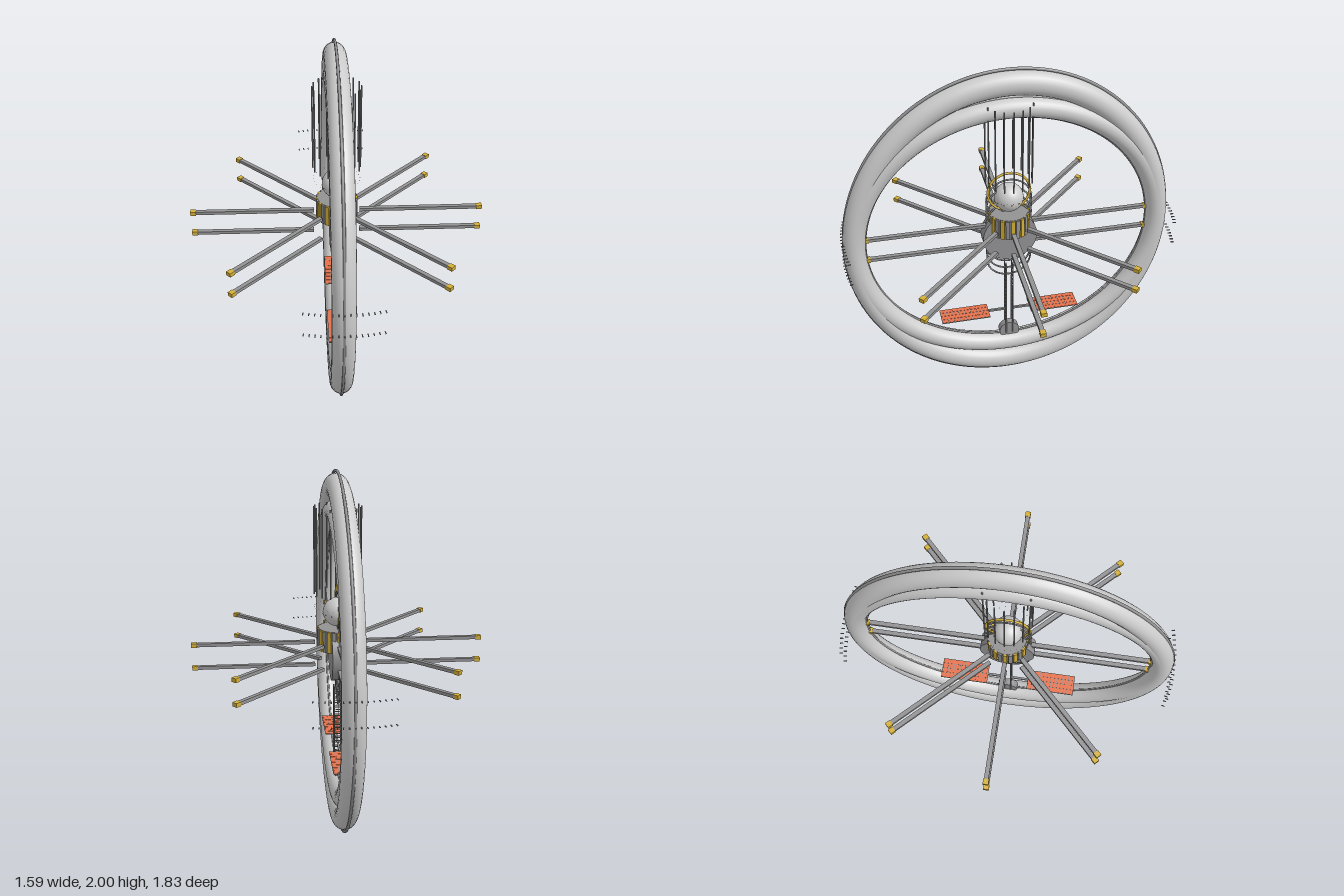
import * as THREE from 'three';

const mat = (name, color) => {
  const m = new THREE.MeshStandardMaterial({ color });
  m.name = name;
  return m;
};

export function createModel() {
  const model = new THREE.Group();
  const shell = mat('pale grey', 0xcccccc);
  const steel = mat('mid grey', 0x929294);
  const gold = mat('gold', 0xd4af37);
  const orange = mat('orange', 0xe8714a);

  const group = (name, parent = model) => {
    const g = new THREE.Group();
    g.name = name;
    parent.add(g);
    return g;
  };
  const add = (name, geo, material, x = 0, y = 0, z = 0, parent = model) => {
    const m = new THREE.Mesh(geo, material);
    m.name = name;
    m.position.set(x, y, z);
    parent.add(m);
    return m;
  };
  // A hoop standing in the yz plane, optionally stretched in height
  const hoop = (name, R, r, material, y, stretch = 1, sides = 12, steps = 48, parent = model) => {
    const geo = new THREE.TorusGeometry(R, r, sides, steps).rotateY(Math.PI / 2);
    return add(name, geo, material, 0, y, 0, parent).scale.set(1, stretch, 1);
  };

  // Two overlapping oval rings with thin seams
  hoop('outerRing', 0.845, 0.06, shell, 1, 1.08, 24, 128);
  hoop('innerRing', 0.845, 0.06, shell, 1, 0.92, 24, 128);
  hoop('middleSeam', 0.84, 0.009, shell, 1, 1, 8, 128);
  hoop('outerSeam', 0.9, 0.008, steel, 1, 1.1, 8, 128);
  hoop('innerSeam', 0.786, 0.006, steel, 1, 0.915, 8, 128);

  // Hub disc
  add('hubDisc', new THREE.CylinderGeometry(0.15, 0.15, 0.08, 48).rotateZ(Math.PI / 2), steel, 0, 1, 0);

  // Collar drum with alternating grey and gold slats
  const collar = group('collar');
  add('collarDrum', new THREE.CylinderGeometry(0.104, 0.104, 0.12, 32), steel, 0, 1.09, 0, collar);
  for (let i = 0; i < 24; i++) {
    const a = i * Math.PI / 12;
    const slat = add('collarSlat', new THREE.BoxGeometry(0.022, 0.116, 0.014), i % 2 ? steel : gold,
      Math.sin(a) * 0.106, 1.09, Math.cos(a) * 0.106, collar);
    slat.rotation.y = a;
  }

  // Head ball with a band of studs and a halo of specks
  add('ball', new THREE.SphereGeometry(0.08, 32, 20), shell, 0, 1.238, 0);
  const studs = group('ballStuds');
  for (let i = 0; i < 12; i++) {
    const a = (i / 12) * Math.PI * 2;
    add('stud', new THREE.SphereGeometry(0.003, 6, 4), orange,
      Math.cos(a) * 0.08, 1.23, Math.sin(a) * 0.08, studs);
  }
  const halo = group('speckHalo');
  for (let i = 0; i < 24; i++) {
    const a = (i / 24) * Math.PI * 2;
    add('speck', new THREE.SphereGeometry(0.002, 6, 4), steel,
      Math.cos(a) * 0.125, 1.27, Math.sin(a) * 0.125, halo);
  }

  // Column of thin hoops with a gold one at the top
  const hoops = group('hoopStack');
  for (let i = 0; i < 9; i++) hoop('thinHoop', 0.124, 0.005, steel, 0.838 + i * 0.048, 1, 8, 48, hoops);
  hoop('goldHoop', 0.115, 0.007, gold, 1.272, 1, 8, 48);

  // Circle of hanging rods
  const rods = group('hangingRods');
  for (let i = 0; i < 16; i++) {
    const a = (i / 16) * Math.PI * 2;
    const x = Math.cos(a) * 0.126, z = Math.sin(a) * 0.126;
    add('rod', new THREE.CylinderGeometry(0.004, 0.004, 0.475, 8), steel, x, 1.577, z, rods);
  }

  // Two tiers of eight spokes with gold tips
  const spokes = group('spokes');
  for (const y of [0.94, 1.07]) {
    for (let i = 0; i < 8; i++) {
      const spoke = group('spoke', spokes);
      spoke.position.y = y;
      spoke.rotation.y = i * Math.PI / 4;
      add('spokeBar', new THREE.BoxGeometry(0.65, 0.018, 0.024), steel, 0.45, 0, 0, spoke);
      add('spokeTip', new THREE.BoxGeometry(0.03, 0.022, 0.03), gold, 0.781, 0, 0, spoke);
    }
  }

  // Arcs of small ticks beyond the ring, front and back
  const ticks = group('tickArcs');
  for (const y of [0.94, 1.07]) {
    for (const base of [0, Math.PI]) {
      for (let i = 0; i < 15; i++) {
        const a = base + (i / 14 - 0.5) * 0.44;
        const tick = add('tick', new THREE.BoxGeometry(0.005, 0.004, 0.018), steel,
          Math.sin(a) * 0.905, y, Math.cos(a) * 0.905, ticks);
        tick.rotation.y = a;
      }
    }
  }

  // Slender ladder mast below the hub
  const mast = group('mast');
  for (const x of [-0.02, 0.02]) {
    for (const z of [-0.02, 0.02]) {
      add('mastPost', new THREE.CylinderGeometry(0.004, 0.004, 0.52, 8), steel, x, 0.55, z, mast);
    }
  }
  for (let i = 0; i < 18; i++) {
    const y = 0.32 + i * 0.027;
    for (const s of [-0.02, 0.02]) {
      add('mastRung', new THREE.BoxGeometry(0.04, 0.004, 0.004), steel, 0, y, s, mast);
    }
  }
  add('mastFoot', new THREE.CylinderGeometry(0.058, 0.058, 0.04, 32).rotateZ(Math.PI / 2), steel, 0, 0.305, 0);

  // Tiled panels on arms either side of the mast
  const panels = group('panels');
  for (const s of [-1, 1]) {
    add('panelArm', new THREE.BoxGeometry(0.012, 0.012, 0.11), steel, 0, 0.46, s * 0.067, panels);
    add('panelBack', new THREE.BoxGeometry(0.12, 0.003, 0.28), steel, 0, 0.46, s * 0.26, panels);
    for (let i = 0; i < 4; i++) {
      for (let j = 0; j < 8; j++) {
        add('panelTile', new THREE.BoxGeometry(0.026, 0.002, 0.031), orange,
          (i - 1.5) * 0.029, 0.462, s * 0.26 + (j - 3.5) * 0.0345, panels);
      }
    }
  }

  return model;
}
